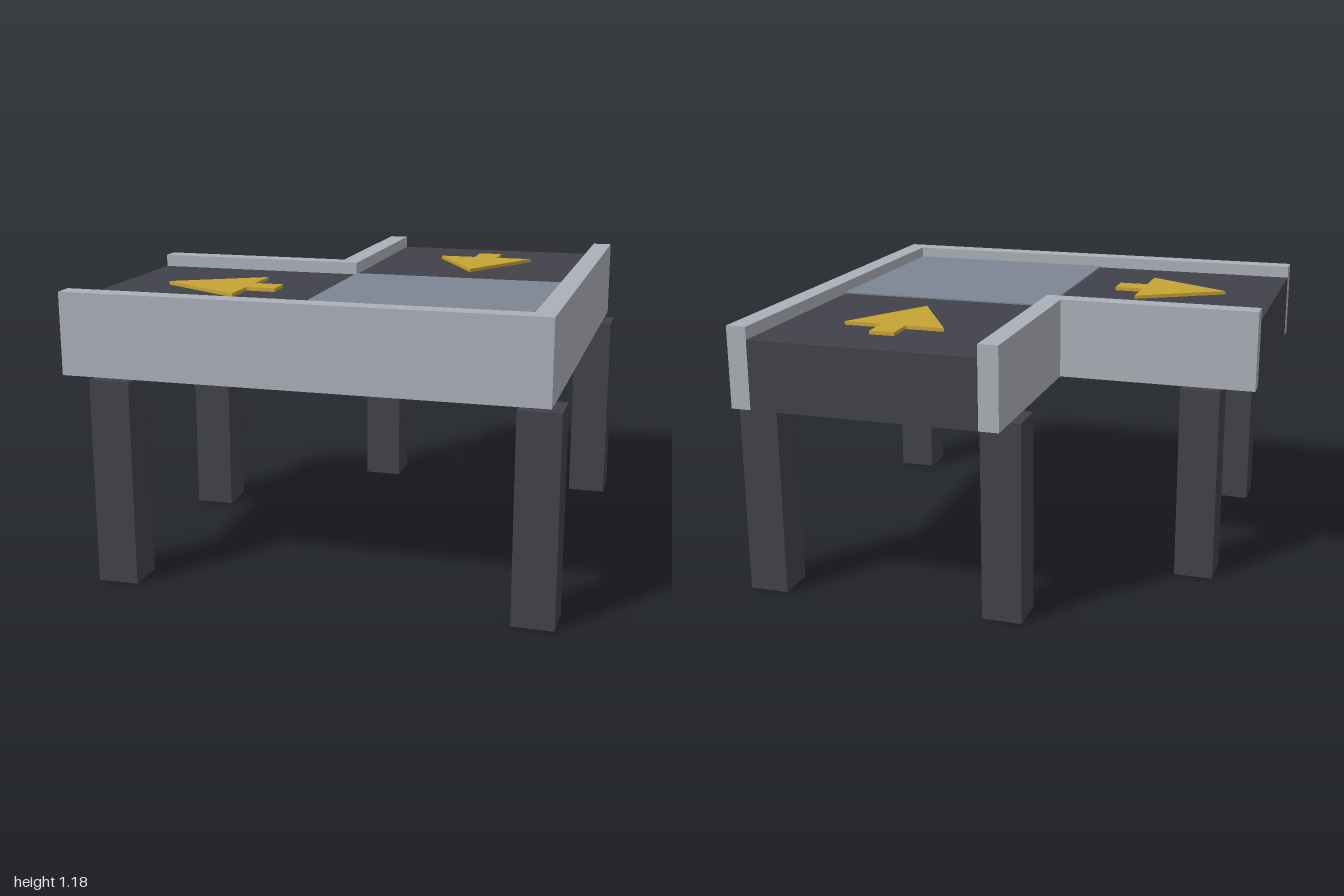
import * as THREE from 'three';

const material = (name, color) => {
  const m = new THREE.MeshStandardMaterial({ color });
  m.name = name;
  return m;
};

// Extrudes a floor-plan outline of [x, z] points upward from y0 to y1.
function slab(name, plan, y0, y1, mat) {
  const shape = new THREE.Shape(plan.map(([x, z]) => new THREE.Vector2(x, -z)));
  const geometry = new THREE.ExtrudeGeometry(shape, { depth: y1 - y0, bevelEnabled: false });
  geometry.rotateX(-Math.PI / 2).translate(0, y0, 0);
  const mesh = new THREE.Mesh(geometry, mat);
  mesh.name = name;
  return mesh;
}

export function createModel() {
  const dark = material('dark grey', 0x414149);
  const grey = material('light grey', 0xabafb8);
  const blueGrey = material('blue grey', 0x7c8592);
  const yellow = material('yellow', 0xc8a334);

  const group = new THREE.Group();
  group.name = 'cornerConveyor';

  const legTop = 0.84, beltTop = 1.125, railTop = 1.177;
  const inner = -0.08, innerOut = -0.162, outer = 0.87, outerOut = 0.953;

  // L-shaped belt body and the turning plate at its corner
  group.add(slab('belt', [[-1, inner], [inner, inner], [inner, -1], [outer, -1], [outer, outer], [-1, outer]],
    legTop, beltTop, dark));
  group.add(slab('cornerPlate', [[inner, inner], [outer, inner], [outer, outer], [inner, outer]],
    beltTop, beltTop + 0.006, blueGrey));

  // Side rails, each following the bend
  const rail = (name, a, b) => slab(name,
    [[-1, a], [a, a], [a, -1], [b, -1], [b, b], [-1, b]], legTop, railTop, grey);
  group.add(rail('innerRail', innerOut, inner), rail('outerRail', outer, outerOut));

  // Direction arrows: one coming in from the back, one leaving at the right
  const arrow = [[0, 0.25], [0.215, -0.12], [0.053, -0.12], [0.053, -0.245],
    [-0.053, -0.245], [-0.053, -0.12], [-0.215, -0.12]];
  const addArrow = (name, x, z, turn) => {
    const mesh = slab(name, arrow, 0, 0.015, yellow);
    mesh.position.set(x, beltTop, z);
    mesh.rotation.y = turn;
    group.add(mesh);
  };
  addArrow('arrowIn', 0.397, -0.53, 0);
  addArrow('arrowOut', -0.525, 0.397, -Math.PI / 2);

  // Square legs
  const legGeometry = new THREE.BoxGeometry(0.167, legTop, 0.167);
  const near = -0.12, far = -0.777, corner = 0.915;
  for (const [x, z] of [[far, near], [far, corner], [near, far], [corner, far], [corner, corner]]) {
    const leg = new THREE.Mesh(legGeometry, dark);
    leg.name = 'leg';
    leg.position.set(x, legTop / 2, z);
    group.add(leg);
  }
  return group;
}
